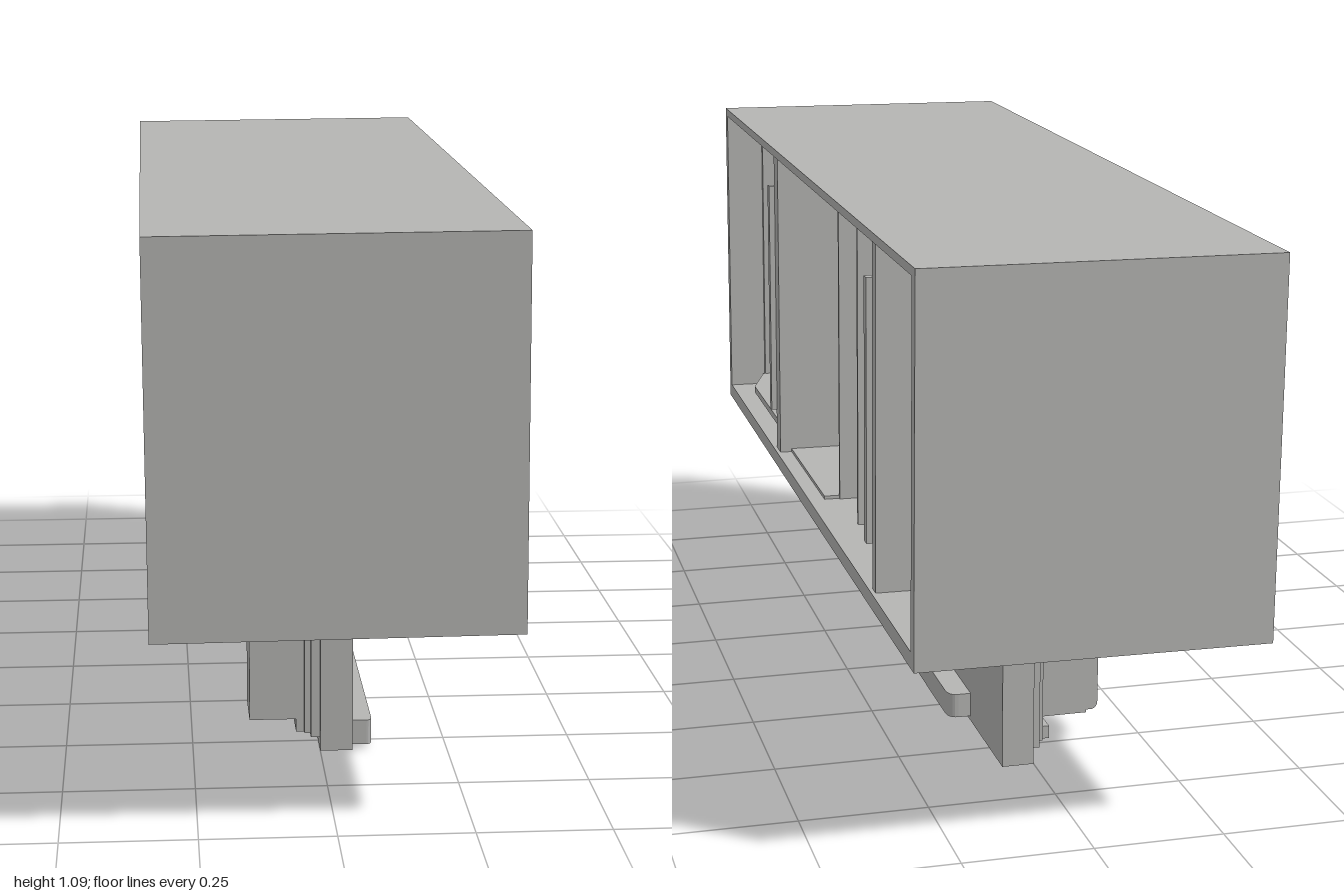
import * as THREE from 'three';

export function createModel() {
  const grey = new THREE.MeshStandardMaterial({ color: 0xb5b5b3 });
  grey.name = 'plain grey';
  const model = new THREE.Group();
  model.name = 'openCase';

  const add = (parent, name, geometry) => {
    const m = new THREE.Mesh(geometry, grey);
    m.name = name;
    parent.add(m);
    return m;
  };
  // Box given by its minimum and maximum on each axis
  const box = (parent, name, x0, x1, y0, y1, z0, z1) =>
    add(parent, name, new THREE.BoxGeometry(x1 - x0, y1 - y0, z1 - z0)
      .translate((x0 + x1) / 2, (y0 + y1) / 2, (z0 + z1) / 2));
  const extrude = (shape, depth) =>
    new THREE.ExtrudeGeometry(shape, { depth, bevelEnabled: false, curveSegments: 6 });

  // Case, tilted very slightly about its centre
  const tilt = new THREE.Group();
  tilt.name = 'case';
  tilt.position.set(-0.003, 0.73, 0);
  tilt.rotation.z = 0.008;
  model.add(tilt);
  const inner = new THREE.Group();
  inner.name = 'caseParts';
  inner.position.set(0.003, -0.73, 0);
  tilt.add(inner);

  // Shell of five walls, open towards +x
  box(inner, 'shellBack', -0.337, -0.318, 0.369, 1.09, -1, 1);
  box(inner, 'shellTop', -0.318, 0.333, 1.073, 1.09, -1, 1);
  box(inner, 'shellBottom', -0.318, 0.333, 0.369, 0.4, -1, 1);
  for (const s of [1, -1]) {
    box(inner, 'shellEnd', -0.318, 0.333, 0.4, 1.073, s > 0 ? 0.975 : -1, s > 0 ? 1 : -0.975);
  }

  // Front compartment lining: two plates with a cut corner and an end plate
  const plate = new THREE.Shape([[-0.318, -0.965], [0.255, -0.965], [0.298, -0.84],
    [0.298, -0.4], [-0.318, -0.4]].map(([x, y]) => new THREE.Vector2(x, y)));
  for (const y of [0.413, 1.05]) {
    add(inner, 'liningPlate', extrude(plate, 0.015).rotateX(-Math.PI / 2).translate(0, y, 0));
  }
  box(inner, 'liningEnd', -0.318, 0.25, 0.4, 1.073, 0.963, 0.975);

  // Main dividers with raised edge strips
  box(inner, 'frontDivider', -0.318, 0.325, 0.4, 1.073, 0.34, 0.385);
  box(inner, 'rearDivider', -0.318, 0.325, 0.4, 1.073, -0.655, -0.628);
  for (const [z0, z1] of [[0.38, 0.4], [-0.63, -0.61]]) {
    box(inner, 'dividerStrip', 0.1, 0.337, 0.49, 1.0, z0, z1);
  }

  // Thin middle dividers and their floor plate
  for (const z of [-0.04, -0.225]) {
    box(inner, 'thinDivider', -0.318, 0.268, 0.4, 1.073, z - 0.005, z + 0.003);
  }
  box(inner, 'floorPlate', -0.318, 0.3, 0.4, 0.407, -0.04, 0.34);

  // Dome on the rear end wall and a small latch bar
  const dome = add(inner, 'dome',
    new THREE.SphereGeometry(0.05, 24, 10, 0, Math.PI * 2, 0, Math.PI / 2));
  dome.scale.y = 0.8;
  dome.rotation.x = Math.PI / 2;
  dome.position.set(0.21, 0.74, -0.976);
  box(inner, 'latchBar', -0.318, 0.255, 0.71, 0.77, -0.735, -0.722);
  box(inner, 'latchTip', 0.245, 0.262, 0.735, 0.745, -0.742, -0.735);

  // Upright slab running from the base up into the case
  box(model, 'slab', 0, 0.064, 0, 0.73, -0.6, 0.56);

  // Foot flange with a bulge near its rear end, drawn in (x, -z)
  const f = new THREE.Shape();
  f.moveTo(0.06, -0.555);
  f.lineTo(0.092, -0.555);
  f.quadraticCurveTo(0.102, -0.555, 0.102, -0.54);
  f.lineTo(0.102, 0.03);
  f.quadraticCurveTo(0.103, 0.05, 0.111, 0.07);
  f.lineTo(0.111, 0.32);
  f.quadraticCurveTo(0.111, 0.352, 0.09, 0.352);
  f.lineTo(0.06, 0.352);
  add(model, 'footFlange', extrude(f, 0.05).rotateX(-Math.PI / 2).translate(0, 0.01, 0));

  // Stepped rails along the right side of the slab
  box(model, 'rail', -0.018, 0, 0.025, 0.38, -0.58, 0.55);
  box(model, 'railStep', -0.03, -0.018, 0.03, 0.38, -0.56, 0.54);
  box(model, 'railLip', -0.046, -0.03, 0.03, 0.056, -0.55, 0.53);

  // Rear block with a rounded cover, drawn in (-x, y)
  box(model, 'rearBlock', -0.138, -0.03, 0.056, 0.38, -0.5, -0.4);
  const cover = new THREE.Shape();
  cover.moveTo(0.13, 0.062);
  cover.lineTo(0.15, 0.062);
  cover.quadraticCurveTo(0.162, 0.064, 0.162, 0.08);
  cover.lineTo(0.162, 0.305);
  cover.quadraticCurveTo(0.162, 0.325, 0.145, 0.325);
  cover.lineTo(0.13, 0.325);
  add(model, 'rearCover', extrude(cover, 0.1).rotateY(Math.PI).translate(0, 0, -0.4));

  // Open middle bracket: one wall and a foot
  box(model, 'bracketWall', -0.138, -0.03, 0.056, 0.38, -0.1, -0.08);
  box(model, 'bracketFoot', -0.125, -0.03, 0.056, 0.07, -0.17, -0.1);

  // Front bracket
  box(model, 'frontBracketBlock', -0.138, -0.03, 0.056, 0.38, 0.41, 0.53);
  box(model, 'frontBracketFoot', -0.125, -0.03, 0.056, 0.07, 0.35, 0.41);

  return model;
}
